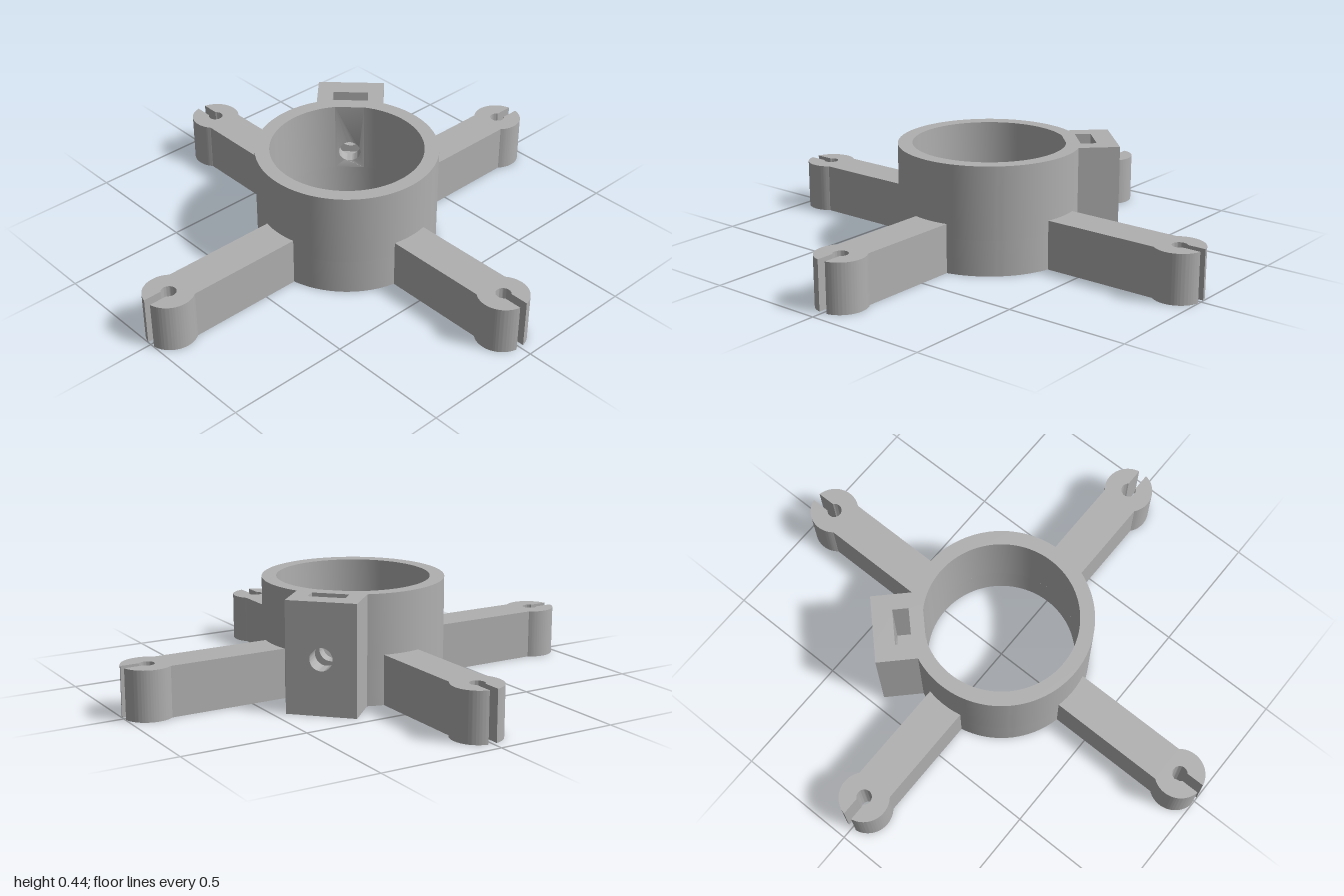
import * as THREE from 'three';
import { toCreasedNormals } from 'three/addons/utils/BufferGeometryUtils.js';

const RING_R = 0.365, BORE_R = 0.307, HEIGHT = 0.44;
const BOX_HALF = 0.138, BOX_END = 0.503;                          // screw boss on the ring
const POCKET_IN = 0.357, POCKET_OUT = 0.4215, POCKET_HALF = 0.073, POCKET_FLOOR = 0.145;
const PLUG_HALF = 0.06, SCREW_R = 0.045, SCREW_Y = 0.22;

const lines = (shape, points) => points.forEach(([x, y]) => shape.lineTo(x, y));

// Extrude a plan outline upwards from y0 to y1
function slab(shape, y0, y1) {
  const g = new THREE.ExtrudeGeometry(shape, { depth: y1 - y0, bevelEnabled: false, curveSegments: 64 });
  g.rotateX(-Math.PI / 2).translate(0, y0, 0);
  return toCreasedNormals(g, 0.5);
}

// Solid lower part of the ring and boss
function lowerPlan() {
  const a = Math.asin(BOX_HALF / RING_R);
  const s = new THREE.Shape();
  s.absarc(0, 0, RING_R, a, 2 * Math.PI - a, false);
  lines(s, [[BOX_END, -BOX_HALF], [BOX_END, BOX_HALF]]);
  s.closePath();
  s.holes.push(new THREE.Path().absarc(0, 0, BORE_R, 0, 2 * Math.PI, true));
  return s;
}

// Upper part, open around the nut pocket and the two drilled walls
function upperPlan() {
  const a = Math.asin(BOX_HALF / RING_R), b = Math.asin(PLUG_HALF / BORE_R);
  const side = [[BOX_END, BOX_HALF], [BOX_END, PLUG_HALF], [POCKET_OUT, PLUG_HALF],
    [POCKET_OUT, POCKET_HALF], [POCKET_IN, POCKET_HALF], [POCKET_IN, PLUG_HALF]];
  const s = new THREE.Shape();
  s.absarc(0, 0, RING_R, a, 2 * Math.PI - a, false);
  lines(s, side.map(([x, y]) => [x, -y]));
  s.absarc(0, 0, BORE_R, -b, b, true);
  lines(s, side.slice().reverse());
  s.closePath();
  return s;
}

// Wall with a screw hole, running outwards along x
function drilledWall(x0, x1, curved) {
  const s = new THREE.Shape();
  s.moveTo(-PLUG_HALF, POCKET_FLOOR);
  lines(s, [[PLUG_HALF, POCKET_FLOOR], [PLUG_HALF, HEIGHT], [-PLUG_HALF, HEIGHT]]);
  s.closePath();
  s.holes.push(new THREE.Path().absarc(0, SCREW_Y, SCREW_R, 0, 2 * Math.PI, true));
  const g = new THREE.ExtrudeGeometry(s, { depth: x1 - x0, bevelEnabled: false, curveSegments: 32 });
  g.rotateY(Math.PI / 2).translate(x0, 0, 0);
  if (curved) { // follow the bore on the inner face
    const p = g.attributes.position;
    for (let i = 0; i < p.count; i++) {
      if (p.getX(i) < x0 + 0.001) p.setX(i, Math.sqrt(BORE_R ** 2 - p.getZ(i) ** 2));
    }
  }
  return toCreasedNormals(g, 0.5);
}

// Arm with a round tip, a small hole and a slot open to the end
function armPlan(c) {
  const half = 0.078, tipR = 0.1, holeR = 0.03, slot = 0.018;
  const a = Math.asin(half / RING_R), j = Math.asin(half / tipR);
  const g = Math.asin(slot / tipR), h = Math.asin(slot / holeR);
  const s = new THREE.Shape();
  s.absarc(0, 0, RING_R, a, -a, true);
  s.absarc(c, 0, tipR, Math.PI + j, 2 * Math.PI - g, false);
  s.absarc(c, 0, holeR, -h, h, true);
  s.absarc(c, 0, tipR, g, Math.PI - j, false);
  s.closePath();
  return s;
}

export function createModel() {
  const grey = new THREE.MeshStandardMaterial({ color: 0xb0b0b0 });
  grey.name = 'plain grey';
  const model = new THREE.Group();
  model.name = 'fourArmClampRing';
  const add = (parent, name, geometry) => {
    const mesh = new THREE.Mesh(geometry, grey);
    mesh.name = name;
    parent.add(mesh);
    return mesh;
  };

  // Ring with its screw boss, turned towards the back left
  const body = new THREE.Group();
  body.name = 'ringBody';
  body.rotation.y = Math.PI / 4;
  model.add(body);
  add(body, 'lowerRing', slab(lowerPlan(), 0, POCKET_FLOOR));
  add(body, 'upperRing', slab(upperPlan(), POCKET_FLOOR, HEIGHT));
  add(body, 'innerScrewWall', drilledWall(BORE_R - 0.01, POCKET_IN, true));
  add(body, 'outerScrewWall', drilledWall(POCKET_OUT, BOX_END, false));

  // Four arms; the front and back ones are slightly shorter
  ['leftArm', 'backArm', 'rightArm', 'frontArm'].forEach((name, i) => {
    add(model, name, slab(armPlan(i % 2 ? 0.85 : 0.9), 0, 0.2)).rotation.y = i * Math.PI / 2;
  });
  return model;
}
